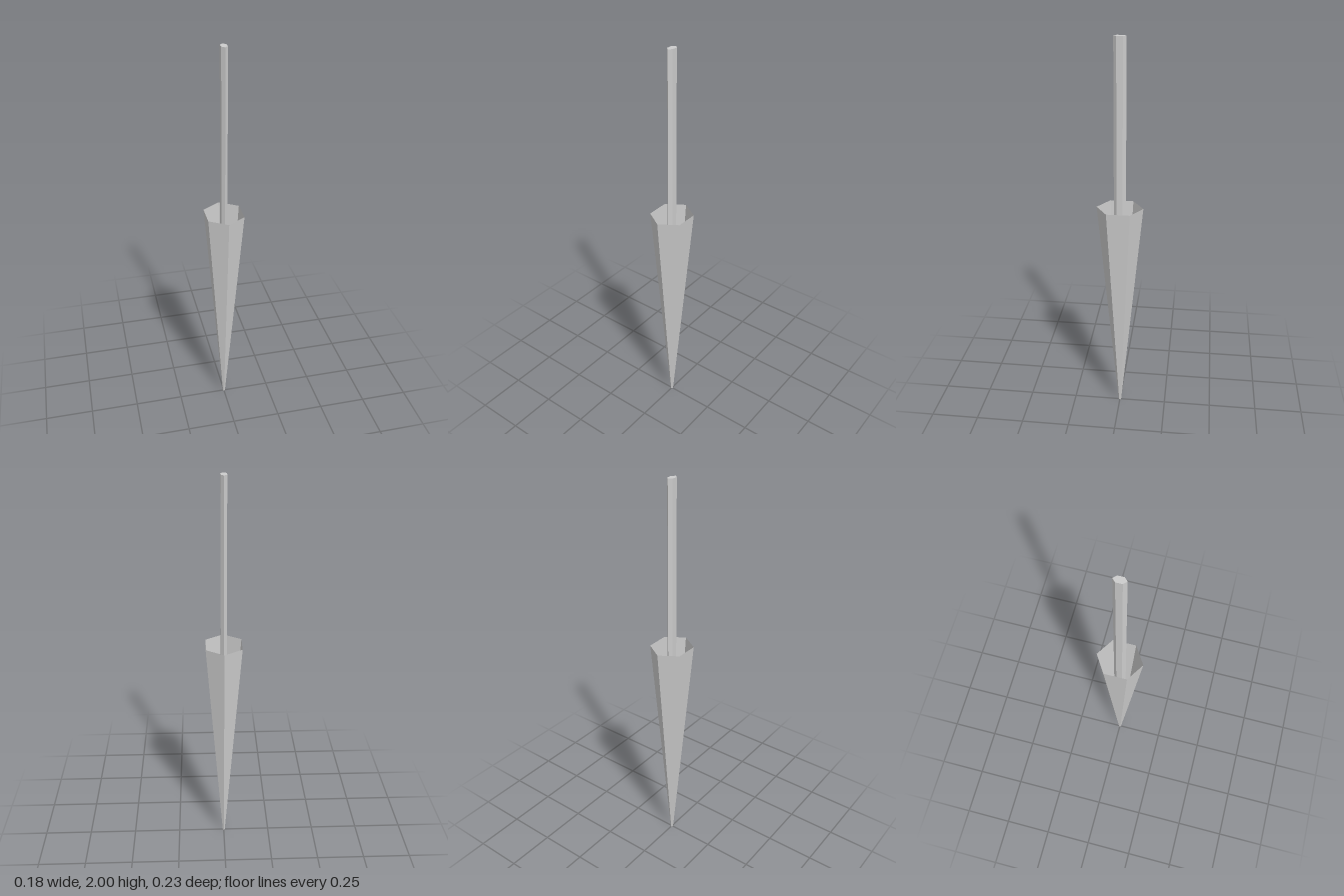
import * as THREE from 'three';

const material = new THREE.MeshStandardMaterial({
  color: 0xcccccc, flatShading: true, side: THREE.DoubleSide,
});

// Six-sided upright prism or taper with corners on +z and -z, flattened in x
function hexPart(name, topRadius, bottomRadius, bottomY, topY, halfWidth, open) {
  const geometry = new THREE.CylinderGeometry(topRadius, bottomRadius, topY - bottomY, 6, 1, open);
  geometry.scale(halfWidth / (topRadius * Math.sin(Math.PI / 3)), 1, 1);
  geometry.translate(0, (topY + bottomY) / 2, 0);
  const mesh = new THREE.Mesh(geometry, material);
  mesh.name = name;
  return mesh;
}

export function createModel() {
  const group = new THREE.Group();
  group.name = 'taperedSpike';

  // Hollow tapering socket, open at the top
  group.add(hexPart('socket', 0.116, 0.007, 0, 1.17, 0.09, true));

  // Small cap closing the tip of the socket
  const tip = new THREE.CircleGeometry(0.007, 6, Math.PI / 2);
  tip.rotateX(Math.PI / 2);
  tip.scale(0.9, 1, 1);
  const tipCap = new THREE.Mesh(tip, material);
  tipCap.name = 'tipCap';
  group.add(tipCap);

  // Slender shaft seated in the socket where the walls close in
  group.add(hexPart('shaft', 0.03, 0.03, 0.3, 2, 0.015, false));

  return group;
}
